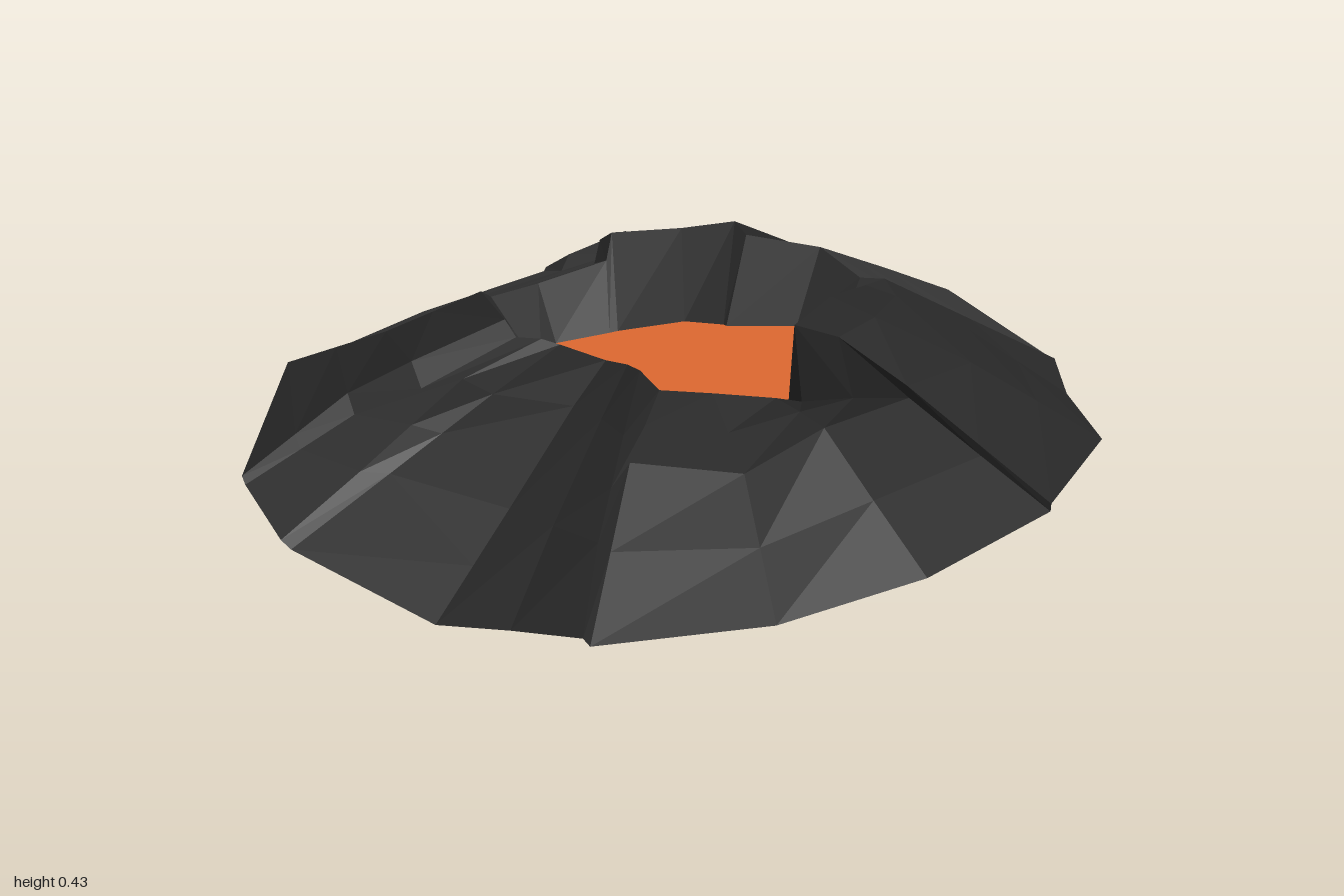
import * as THREE from 'three';

const lavaHeight = z => 0.155 - 0.09 * z; // the pool tilts slightly down to the front
const material = color => new THREE.MeshStandardMaterial({ color, flatShading: true, side: THREE.DoubleSide });
const paleRock = material(0x373737);
const darkRock = material(0x272727);
const lava = material(0xdd6830);

// A spoke runs from the outer foot, over slope points and the crest, to the lava edge (x, z).
// The longest stretches are halved until all spokes have the same number of points.
function spoke(foot, ...rest) {
  const [x, z] = rest.pop();
  const pts = [foot, ...rest].map(p => new THREE.Vector3(...p));
  while (pts.length < 5) {
    let k = 1;
    for (let i = 2; i < pts.length; i++) {
      if (pts[i].distanceTo(pts[i - 1]) > pts[k].distanceTo(pts[k - 1])) k = i;
    }
    pts.splice(k, 0, pts[k - 1].clone().lerp(pts[k], 0.5));
  }
  pts.push(new THREE.Vector3(x, lavaHeight(z), z));
  return pts;
}

// Skin of flat quads between neighbouring spokes.
function loft(spokes) {
  const out = [];
  const put = (...vs) => vs.forEach(v => out.push(v.x, v.y, v.z));
  for (let i = 0; i < spokes.length - 1; i++) {
    const a = spokes[i], b = spokes[i + 1];
    for (let j = 0; j < a.length - 1; j++) {
      put(a[j], a[j + 1], b[j]);
      put(b[j], a[j + 1], b[j + 1]);
    }
  }
  const g = new THREE.BufferGeometry();
  g.setAttribute('position', new THREE.Float32BufferAttribute(out, 3));
  g.computeVertexNormals();
  return g;
}

export function createModel() {
  const group = new THREE.Group();
  const slopes = [];
  const slope = (name, rock, ...spokes) => slopes.push({ name, rock, spokes });

  // Slopes in order: back, +x side, front, -x side. Each is listed as foot, slope, crest, lava edge.
  slope('backSlope', paleRock,
    spoke([-0.34, 0.08, -0.96], [-0.24, 0.24, -0.68], [-0.14, 0.40, -0.40], [-0.12, -0.31]),
    spoke([0.06, 0.11, -1.00], [0.04, 0.25, -0.75], [0.02, 0.385, -0.50], [0.02, -0.42]),
    spoke([0.50, 0.11, -0.86], [0.36, 0.24, -0.65], [0.20, 0.38, -0.44], [0.16, -0.40]));
  slope('backLeftSlope', darkRock,
    spoke([0.51, 0.12, -0.85], [0.40, 0.27, -0.63], [0.26, 0.39, -0.46], [0.17, -0.38]),
    spoke([0.60, 0.08, -0.78], [0.43, 0.28, -0.57], [0.32, 0.375, -0.43], [0.25, 0.39, -0.40], [0.18, -0.34]),
    spoke([0.79, 0.08, -0.65], [0.55, 0.28, -0.43], [0.37, 0.385, -0.29], [0.25, 0.405, -0.27], [0.22, -0.20]),
    spoke([0.90, 0.11, -0.28], [0.55, 0.31, -0.19], [0.37, 0.38, -0.16], [0.27, 0.39, -0.12], [0.25, -0.13]));
  slope('leftFlowChannel', darkRock,
    spoke([0.90, 0.09, -0.28], [0.73, 0.18, -0.24], [0.55, 0.275, -0.20], [0.42, 0.24, -0.16], [0.30, 0.20, -0.12], [0.25, -0.11]),
    spoke([0.86, 0.08, 0.11], [0.69, 0.19, 0.09], [0.52, 0.29, 0.06], [0.44, 0.295, 0.05], [0.36, 0.295, 0.04], [0.26, 0.00]),
    spoke([0.72, 0.05, 0.43], [0.45, 0.22, 0.24], [0.25, 0.30, 0.13], [0.22, 0.08]),
    spoke([0.51, 0.06, 0.76], [0.30, 0.27, 0.44], [0.18, 0.32, 0.23], [0.15, 0.14]));
  slope('frontSlope', darkRock,
    spoke([0.50, 0.08, 0.77], [0.40, 0.20, 0.63], [0.27, 0.32, 0.43], [0.19, 0.40, 0.30], [0.14, 0.15]),
    spoke([0.32, 0.03, 0.81], [0.25, 0.17, 0.62], [0.17, 0.31, 0.40], [0.13, 0.385, 0.28], [0.08, 0.17]),
    spoke([0.16, 0.00, 0.88], [0.12, 0.16, 0.63], [0.07, 0.30, 0.39], [0.06, 0.37, 0.28], [0.02, 0.18]),
    spoke([-0.19, 0.08, 0.99], [-0.14, 0.19, 0.75], [-0.10, 0.30, 0.48], [-0.07, 0.37, 0.30], [-0.07, 0.17]));
  slope('frontRidge', paleRock,
    spoke([-0.21, 0.10, 1.00], [-0.18, 0.20, 0.80], [-0.13, 0.35, 0.54], [-0.10, 0.385, 0.33], [-0.08, 0.18]),
    spoke([-0.56, 0.03, 0.86], [-0.47, 0.15, 0.60], [-0.31, 0.25, 0.52], [-0.20, 0.35, 0.32], [-0.14, 0.20]));
  slope('frontRightSlope', darkRock,
    spoke([-0.57, 0.05, 0.86], [-0.49, 0.20, 0.60], [-0.34, 0.31, 0.52], [-0.25, 0.375, 0.31], [-0.15, 0.20]),
    spoke([-0.90, 0.09, 0.49], [-0.65, 0.22, 0.36], [-0.43, 0.36, 0.23], [-0.31, 0.15]));
  slope('rightSlope', paleRock,
    spoke([-0.90, 0.07, 0.49], [-0.66, 0.20, 0.34], [-0.43, 0.335, 0.20], [-0.32, 0.14]),
    spoke([-0.90, 0.08, 0.05], [-0.68, 0.19, 0.04], [-0.46, 0.30, 0.02], [-0.40, 0.02]),
    spoke([-0.86, 0.08, -0.35], [-0.73, 0.14, -0.30], [-0.56, 0.23, -0.36], [-0.51, 0.26, -0.22], [-0.39, 0.33, -0.15], [-0.33, -0.10]));
  slope('backRightSlope', darkRock,
    spoke([-0.86, 0.09, -0.36], [-0.73, 0.18, -0.33], [-0.57, 0.28, -0.39], [-0.52, 0.315, -0.25], [-0.40, 0.395, -0.18], [-0.32, -0.12]),
    spoke([-0.69, 0.08, -0.70], [-0.47, 0.25, -0.49], [-0.27, 0.41, -0.30], [-0.22, -0.26]),
    spoke([-0.34, 0.09, -0.96], [-0.25, 0.26, -0.68], [-0.18, 0.425, -0.40], [-0.13, -0.31]));

  // Each slope also carries the small cliff down or up to its neighbour.
  slopes.forEach(({ name, rock, spokes }, i) => {
    const next = slopes[(i + 1) % slopes.length].spokes[0];
    const mesh = new THREE.Mesh(loft([...spokes, next]), rock);
    mesh.name = name;
    group.add(mesh);
  });

  // Lava pool filling the crater floor
  const edge = slopes.flatMap(s => s.spokes.map(p => p[p.length - 1]));
  const pool = new THREE.ShapeGeometry(new THREE.Shape(edge.map(p => new THREE.Vector2(p.x, -p.z))));
  pool.rotateX(-Math.PI / 2);
  const pos = pool.attributes.position;
  for (let i = 0; i < pos.count; i++) pos.setY(i, lavaHeight(pos.getZ(i)));
  const poolMesh = new THREE.Mesh(pool, lava);
  poolMesh.name = 'lavaPool';
  group.add(poolMesh);
  return group;
}
